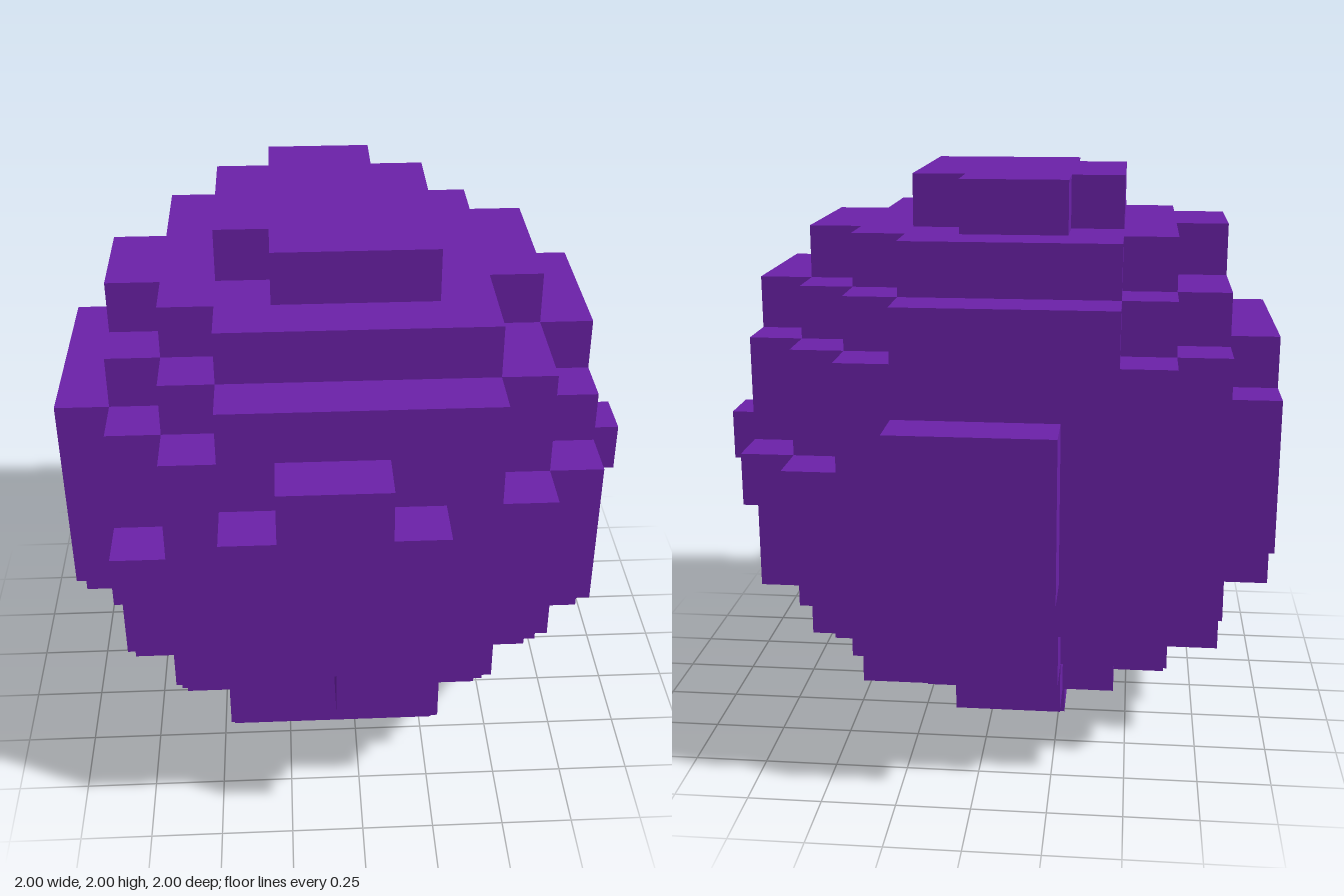
import * as THREE from 'three';
import { mergeGeometries } from 'three/addons/utils/BufferGeometryUtils.js';

const HALF = 5;                       // grid runs from -5 to 5 on each axis
const CELL = 2 / (2 * HALF + 1);      // block edge length
const CENTRE = new THREE.Vector3(-0.35, 0.17, 0.12); // slightly off-grid ball centre
const RADIUS_SQ = 28.766;

// A block is filled when its centre lies inside the ball
const filled = (x, y, z) =>
  CENTRE.distanceToSquared(new THREE.Vector3(x, y, z)) < RADIUS_SQ;

// One square template per face direction, pushed out to the block's side
const DIRECTIONS = [[1, 0, 0], [-1, 0, 0], [0, 1, 0], [0, -1, 0], [0, 0, 1], [0, 0, -1]];
function makeFace(dir) {
  const normal = new THREE.Vector3(...dir);
  const turn = new THREE.Quaternion().setFromUnitVectors(new THREE.Vector3(0, 0, 1), normal);
  const face = new THREE.PlaneGeometry(CELL, CELL).translate(0, 0, CELL / 2);
  return face.applyQuaternion(turn);
}

export function createModel() {
  const group = new THREE.Group();
  group.name = 'blockBall';

  const purple = new THREE.MeshStandardMaterial({ color: 0x6b21a8 });
  purple.name = 'purple';

  // Outer skin: only the faces that border an empty cell
  const templates = DIRECTIONS.map(makeFace);
  const faces = [];
  for (let x = -HALF; x <= HALF; x++)
    for (let y = -HALF; y <= HALF; y++)
      for (let z = -HALF; z <= HALF; z++) {
        if (!filled(x, y, z)) continue;
        DIRECTIONS.forEach(([dx, dy, dz], i) => {
          const nx = x + dx, ny = y + dy, nz = z + dz;
          const outside = Math.max(Math.abs(nx), Math.abs(ny), Math.abs(nz)) > HALF;
          if (outside || !filled(nx, ny, nz))
            faces.push(templates[i].clone().translate(x * CELL, y * CELL + 1, z * CELL));
        });
      }

  const ball = new THREE.Mesh(mergeGeometries(faces), purple);
  ball.name = 'steppedBall';
  group.add(ball);
  return group;
}
